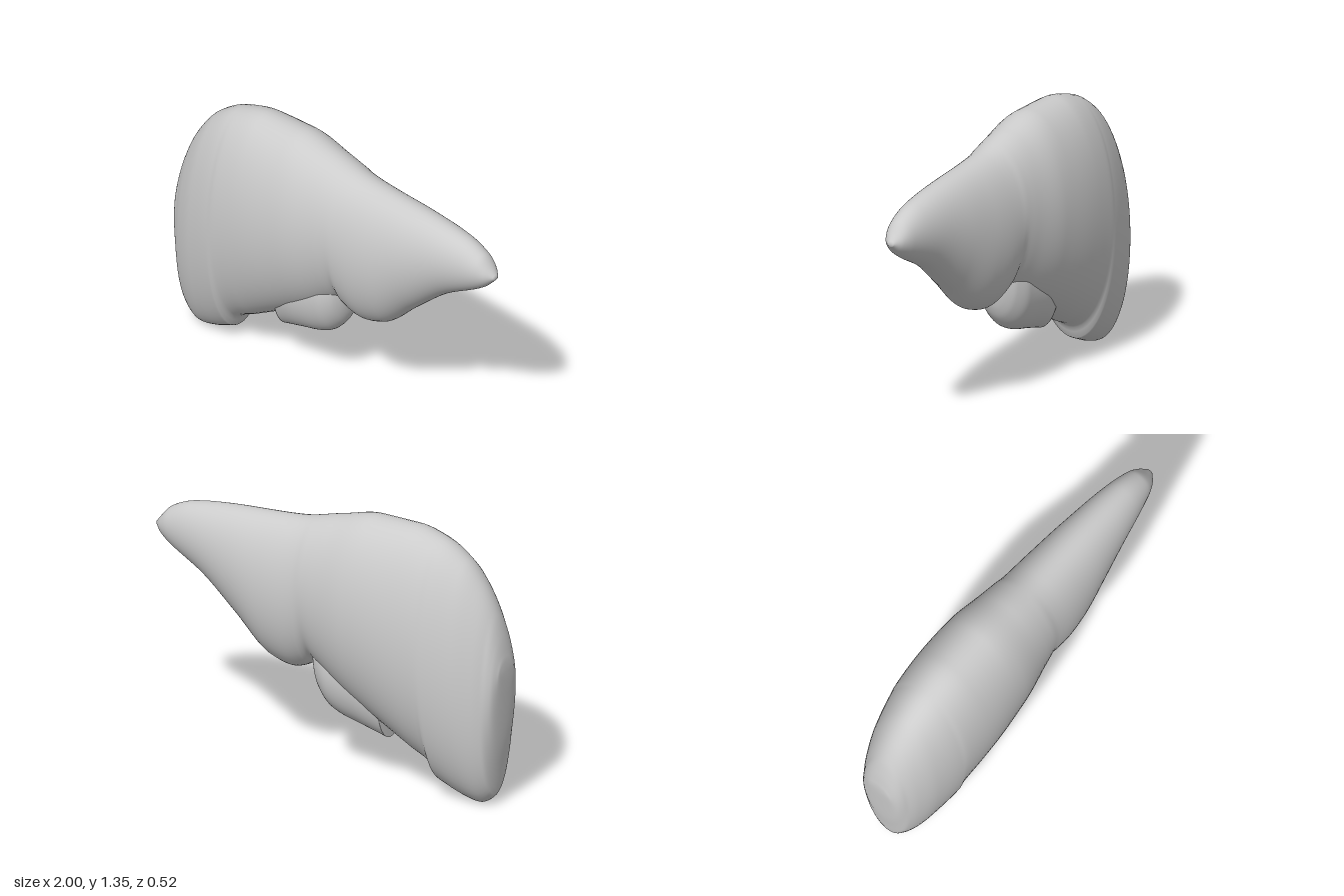
import * as THREE from 'three';

// Smooth interpolation through [x, value] pairs without overshoot
function curve(pts) {
  const slope = (i) => (pts[i + 1][1] - pts[i][1]) / (pts[i + 1][0] - pts[i][0]);
  const last = pts.length - 1;
  const tangent = (i) => {
    if (i === 0) return slope(0);
    if (i === last) return slope(last - 1);
    const a = slope(i - 1), b = slope(i);
    return a * b <= 0 ? 0 : (2 * a * b) / (a + b);
  };
  return (x) => {
    let i = 0;
    while (i < last - 1 && x > pts[i + 1][0]) i++;
    const h = pts[i + 1][0] - pts[i][0];
    const t = THREE.MathUtils.clamp((x - pts[i][0]) / h, 0, 1);
    const t2 = t * t, t3 = t2 * t;
    return (2 * t3 - 3 * t2 + 1) * pts[i][1] + (t3 - 2 * t2 + t) * h * tangent(i)
      + (3 * t2 - 2 * t3) * pts[i + 1][1] + (t3 - t2) * h * tangent(i + 1);
  };
}

// Elliptical cross-sections lofted along x, closed at both ends
function loft(name, x0, x1, top, bottom, depth, steps, sides = 64) {
  const pos = [], index = [];
  const ring = (x, scale) => {
    const mid = (top(x) + bottom(x)) / 2, half = (top(x) - bottom(x)) / 2;
    for (let j = 0; j < sides; j++) {
      const a = (j / sides) * Math.PI * 2;
      pos.push(x, mid + Math.cos(a) * half * scale, Math.sin(a) * depth(x) * scale);
    }
  };
  ring(x0, 0);
  for (let i = 0; i <= steps; i++) {
    // stations crowd together toward the rounded ends
    const u = i / steps, e = (1 - Math.cos(u * Math.PI)) / 2;
    ring(x0 + (x1 - x0) * (u * 0.4 + e * 0.6), 1);
  }
  ring(x1, 0);
  for (let i = 0; i < steps + 2; i++) {
    for (let j = 0; j < sides; j++) {
      const a = i * sides + j, b = i * sides + ((j + 1) % sides);
      const c = a + sides, d = b + sides;
      if (i > 0) index.push(a, b, c);
      if (i === 0) index.push(a, d, c);
      else if (i < steps + 1) index.push(b, d, c);
    }
  }
  const geo = new THREE.BufferGeometry();
  geo.setAttribute('position', new THREE.Float32BufferAttribute(pos, 3));
  geo.setIndex(index);
  geo.computeVertexNormals();
  const mesh = new THREE.Mesh(geo, new THREE.MeshStandardMaterial({ color: 0xcccccc, side: THREE.DoubleSide }));
  mesh.name = name;
  return mesh;
}

export function createModel() {
  const model = new THREE.Group();
  model.name = 'liver';

  // Large right lobe tapering into the left lobe
  const top = curve([[-1, 0.76], [-0.98, 0.87], [-0.945, 0.99], [-0.87, 1.13], [-0.78, 1.235], [-0.64, 1.318],
    [-0.47, 1.355], [-0.26, 1.355], [-0.05, 1.31], [0.18, 1.255], [0.6, 1.22], [0.8, 1.19], [0.92, 1.14],
    [0.98, 1.075], [1, 1.05]]);
  const bottom = curve([[-1, 0.66], [-0.98, 0.35], [-0.96, 0.2], [-0.937, 0.05], [-0.86, 0.003], [-0.78, 0.02],
    [-0.68, 0.06], [-0.645, 0.078], [-0.63, 0.13], [-0.5, 0.205], [-0.33, 0.3], [-0.1, 0.43], [0.03, 0.52],
    [0.075, 0.55], [0.105, 0.51], [0.2, 0.478], [0.31, 0.505], [0.5, 0.665], [0.7, 0.83], [0.94, 0.97], [1, 1.03]]);
  const depth = curve([[-1, 0.06], [-0.98, 0.11], [-0.94, 0.145], [-0.9, 0.17], [-0.8, 0.21], [-0.6, 0.25],
    [-0.4, 0.26], [-0.2, 0.25], [0, 0.215], [0.1, 0.2], [0.2, 0.196], [0.3, 0.188], [0.6, 0.14], [0.9, 0.078],
    [0.96, 0.052], [1, 0.015]]);
  model.add(loft('mainLobes', -1, 1, top, bottom, depth, 180));

  // Small lobe under the middle
  const underTop = curve([[-0.335, 0.7], [-0.1, 0.74], [0.08, 0.8]]);
  const underBottom = curve([[-0.335, 0.22], [-0.2, 0.258], [-0.1, 0.282], [-0.03, 0.313], [0.03, 0.375],
    [0.06, 0.44], [0.08, 0.54]]);
  const underDepth = curve([[-0.335, 0.12], [-0.2, 0.14], [-0.05, 0.14], [0.03, 0.115], [0.08, 0.06]]);
  model.add(loft('underLobe', -0.335, 0.08, underTop, underBottom, underDepth, 48));

  return model;
}
